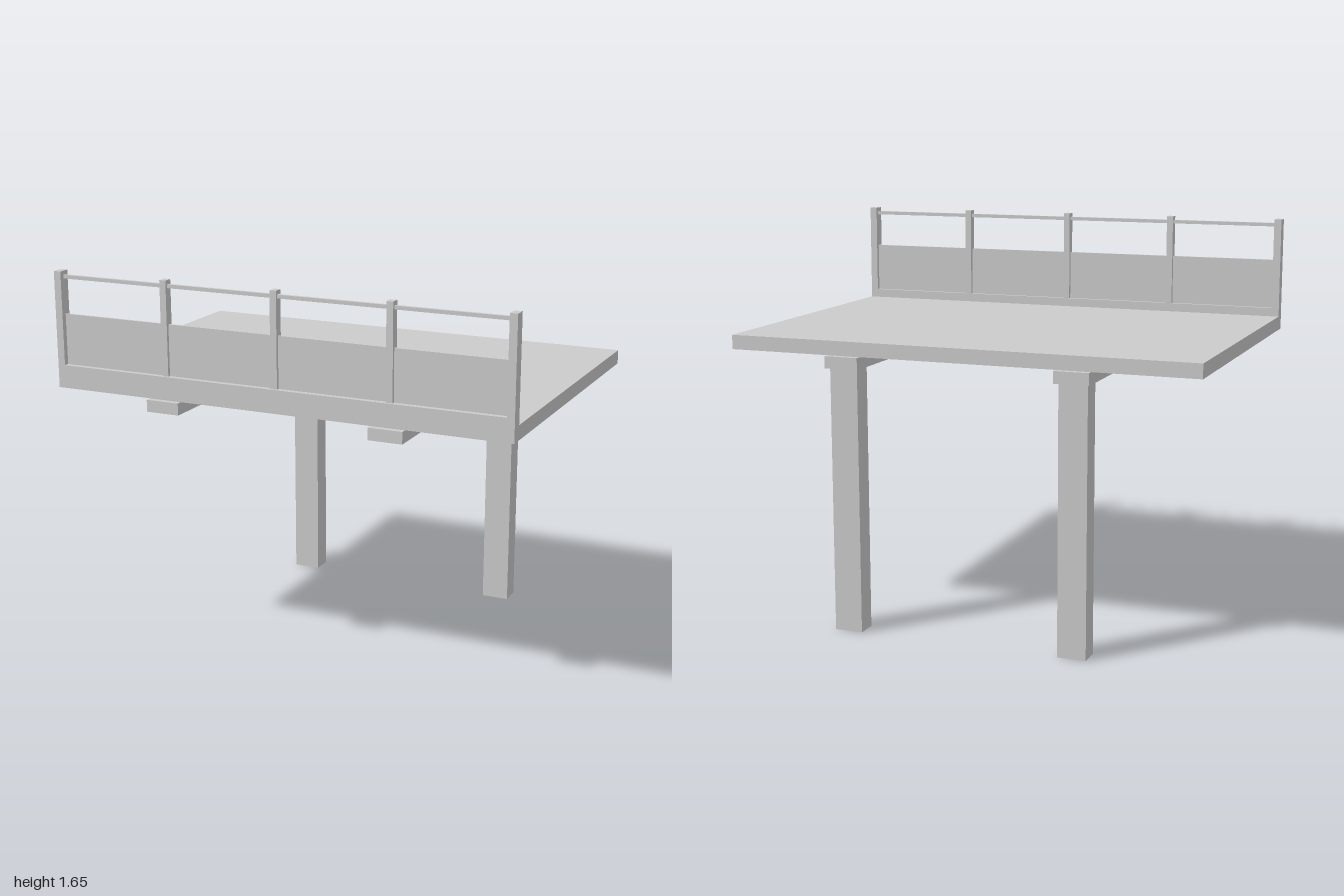
import * as THREE from 'three';

export function createModel() {
  const model = new THREE.Group();
  const material = new THREE.MeshStandardMaterial({ color: 0xcccccc, flatShading: true });

  // Box given by its min/max extents on each axis
  function box(name, [x0, x1], [y0, y1], [z0, z1], parent = model) {
    const mesh = new THREE.Mesh(new THREE.BoxGeometry(x1 - x0, y1 - y0, z1 - z0), material);
    mesh.position.set((x0 + x1) / 2, (y0 + y1) / 2, (z0 + z1) / 2);
    mesh.name = name;
    parent.add(mesh);
  }
  const span = (centre, width) => [centre - width / 2, centre + width / 2];

  // Platform slab
  box('deck', [-1, 1], [1.16, 1.22], [-0.69, 0.69]);

  // Cross beams, each carried by one rear column
  for (const x of [-0.49, 0.49]) {
    box('beam', span(x, 0.145), [1.11, 1.16], [-0.715, 0.715]);
    box('column', span(x, 0.12), [0, 1.11], [-0.69, -0.6]);
  }

  // Railing along the front edge
  const railing = new THREE.Group();
  railing.name = 'railing';
  model.add(railing);
  for (const x of [-0.984, 0.984]) {
    box('endPost', span(x, 0.032), [1.22, 1.65], [0.64, 0.69], railing);
  }
  box('bottomRail', [-0.968, 0.968], [1.22, 1.257], [0.64, 0.69], railing);
  for (const x of [-0.492, 0, 0.492]) {
    box('middlePost', span(x, 0.028), [1.257, 1.65], [0.642, 0.68], railing);
  }
  box('panel', [-0.968, 0.968], [1.257, 1.47], [0.657, 0.667], railing);
  box('handrail', [-0.968, 0.968], [1.618, 1.633], [0.655, 0.669], railing);

  return model;
}
